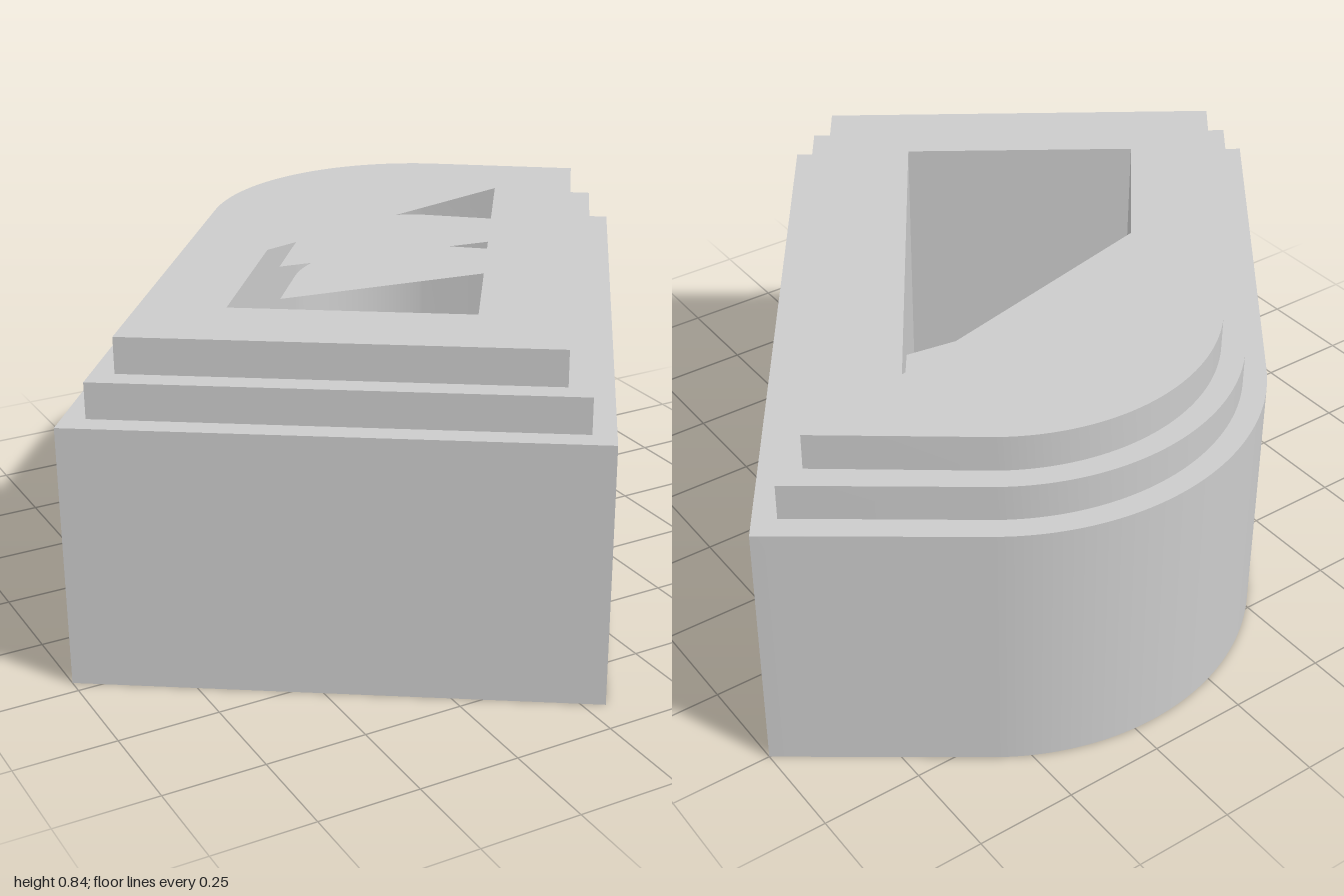
import * as THREE from 'three';
import { toCreasedNormals } from 'three/addons/utils/BufferGeometryUtils.js';

// Plan coordinates are (x, -z). Each corner carries the shift per unit of inset.
const corners = [
  { p: [-1, -0.21], m: [1.42, 0.24] },
  { p: [0.05, -0.91], m: [-0.27, 1.36] },
  { p: [1, 0.5], m: [-1.39, -0.3] },
];
const arc = { x: 0.2, y: 0.26, r: 0.66, from: 0.977, to: 2.484 };
const courtInset = 0.33;

function cornerAt(i, d) {
  const { p, m } = corners[i];
  return [p[0] + m[0] * d, p[1] + m[1] * d];
}

// Outline with three sharp corners and one rounded corner, moved inward by d
function outline(d, path) {
  path.moveTo(...cornerAt(0, d));
  path.lineTo(...cornerAt(1, d));
  path.lineTo(...cornerAt(2, d));
  path.absarc(arc.x, arc.y, arc.r - d, arc.from, arc.to, false);
  path.closePath();
  return path;
}

export function createModel() {
  const group = new THREE.Group();
  const material = new THREE.MeshStandardMaterial({ color: 0xcccccc });
  const sheetMaterial = new THREE.MeshStandardMaterial({ color: 0xcccccc, side: THREE.DoubleSide });

  function add(name, geometry, mat, y) {
    const mesh = new THREE.Mesh(geometry.rotateX(-Math.PI / 2), mat);
    mesh.name = name;
    mesh.position.y = y;
    group.add(mesh);
  }

  // Stepped storeys around a shared courtyard
  const tiers = [
    ['mainStorey', 0, 0, 0.66],
    ['middleStep', 0.057, 0.66, 0.75],
    ['topStep', 0.114, 0.75, 0.84],
  ];
  for (const [name, inset, bottom, top] of tiers) {
    const shape = outline(inset, new THREE.Shape());
    shape.holes.push(outline(courtInset, new THREE.Path()));
    const geometry = new THREE.ExtrudeGeometry(shape, {
      depth: top - bottom, bevelEnabled: false, curveSegments: 24,
    });
    add(name, toCreasedNormals(geometry, 0.5), material, bottom);
  }

  // Thin decks closing the rounded end of the courtyard
  function deck(name, y, edge) {
    const shape = new THREE.Shape();
    shape.moveTo(...edge[0]);
    for (const p of edge.slice(1)) shape.lineTo(...p);
    shape.lineTo(...cornerAt(2, courtInset));
    shape.absarc(arc.x, arc.y, arc.r - courtInset, arc.from, arc.to, false);
    shape.closePath();
    add(name, new THREE.ShapeGeometry(shape, 24), sheetMaterial, y);
  }
  const slanted = [[-0.27, 0.21]];
  const straight = [[-0.19, 0.32], [0.42, 0.23]];
  deck('baseDeck', 0, slanted);
  deck('lowerDeck', 0.66, straight);
  deck('middleDeck', 0.75, straight);
  deck('roofDeck', 0.84, slanted);
  return group;
}
